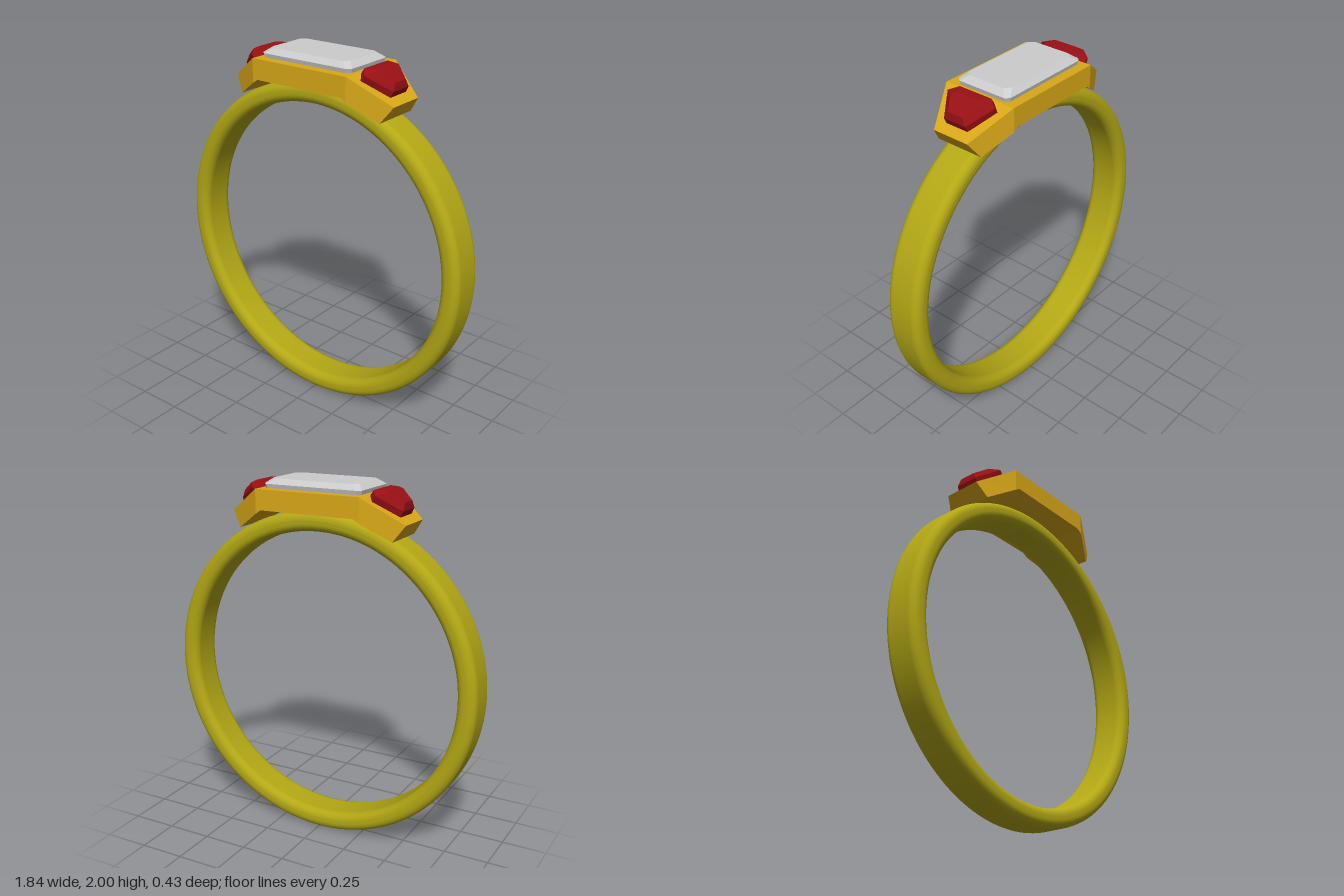
import * as THREE from 'three';

const material = (color, flatShading = true) =>
  new THREE.MeshStandardMaterial({ color, flatShading });

// Faceted solid through matching loops of [x, y, z], with both ends capped
function loft(loops) {
  const pos = [];
  const tri = (a, b, c) => pos.push(...a, ...b, ...c);
  const n = loops[0].length;
  for (let i = 0; i < loops.length - 1; i++) {
    for (let j = 0; j < n; j++) {
      const k = (j + 1) % n;
      const a = loops[i][j], b = loops[i][k], c = loops[i + 1][k], d = loops[i + 1][j];
      tri(a, b, c);
      tri(a, c, d);
    }
  }
  const first = loops[0], last = loops[loops.length - 1];
  for (let j = 1; j < n - 1; j++) {
    tri(first[0], first[j + 1], first[j]);
    tri(last[0], last[j], last[j + 1]);
  }
  const geo = new THREE.BufferGeometry();
  geo.setAttribute('position', new THREE.Float32BufferAttribute(pos, 3));
  geo.computeVertexNormals();
  return geo;
}

// Chamfered rectangle at height y, half sizes w and d
const octagon = (y, w, d, c) => [
  [w - c, y, d], [w, y, d - c], [w, y, c - d], [w - c, y, -d],
  [c - w, y, -d], [-w, y, c - d], [-w, y, d - c], [c - w, y, d],
];

// Tapered hexagon at height y, from three [x, halfWidth] stations
const hexagon = (y, [a, b, c]) => [
  [a[0], y, a[1]], [b[0], y, b[1]], [c[0], y, c[1]],
  [c[0], y, -c[1]], [b[0], y, -b[1]], [a[0], y, -a[1]],
];

// Rounded rectangular band profile turned around the finger axis
function bandGeometry() {
  const inner = 0.81, outer = 0.918, half = 0.107, r = 0.045;
  const points = [];
  const corners = [
    [outer - r, -half + r, -Math.PI / 2], [outer - r, half - r, 0],
    [inner + r, half - r, Math.PI / 2], [inner + r, -half + r, Math.PI],
  ];
  for (const [cx, cy, start] of corners) {
    for (let i = 0; i <= 6; i++) {
      const t = start + (i / 6) * Math.PI / 2;
      points.push(new THREE.Vector2(cx + r * Math.cos(t), cy + r * Math.sin(t)));
    }
  }
  points.push(points[0].clone());
  return new THREE.LatheGeometry(points, 128).rotateX(Math.PI / 2);
}

export function createModel() {
  const model = new THREE.Group();
  model.name = 'ring';
  const add = (parent, name, geometry, mat) => {
    const mesh = new THREE.Mesh(geometry, mat);
    mesh.name = name;
    parent.add(mesh);
    return mesh;
  };

  // Band
  add(model, 'band', bandGeometry(), material(0xb3a815, false)).position.y = 0.918;

  // Setting: a flat bar with two drooping, tapering wings
  // [topX, topY, topHalfWidth, bottomX, bottomY, bottomHalfWidth]
  const wing = [
    [0.27, 1.95, 0.215, 0.27, 1.84, 0.215],
    [0.3, 1.95, 0.215, 0.3, 1.82, 0.215],
    [0.51, 1.81, 0.107, 0.45, 1.725, 0.138],
  ];
  const section = (s, [tx, ty, tz, bx, by, bz]) => [
    [s * tx, ty, -tz], [s * tx, ty, tz], [s * bx, by, bz], [s * bx, by, -bz],
  ];
  const stations = [
    ...wing.map((w) => section(-1, w)).reverse(),
    ...wing.map((w) => section(1, w)),
  ];
  add(model, 'setting', loft(stations), material(0xd9a818));

  // Centre stone with a bevelled crown
  add(model, 'centreStone', loft([
    octagon(1.93, 0.275, 0.155, 0.02),
    octagon(1.972, 0.285, 0.165, 0.02),
    octagon(2.0, 0.25, 0.137, 0.03),
  ]), material(0xcccccc));

  // Side stones lying on the sloping wings
  const girdle = [[0.01, 0.1], [0.05, 0.15], [0.197, 0.068]];
  const stone = loft([
    hexagon(-0.01, girdle),
    hexagon(0.034, [[0.01, 0.1], [0.05, 0.15], [0.19, 0.068]]),
    hexagon(0.066, [[0.055, 0.07], [0.075, 0.095], [0.165, 0.045]]),
  ]);
  const red = material(0x991014);
  for (const [side, turn] of [['left', 0], ['right', Math.PI]]) {
    const holder = new THREE.Group();
    holder.name = side + 'SideStone';
    holder.rotation.y = turn;
    const mesh = add(holder, 'sideStone', stone, red);
    mesh.position.set(0.3, 1.95, 0);
    mesh.rotation.z = -Math.atan2(0.14, 0.21);
    model.add(holder);
  }
  return model;
}
